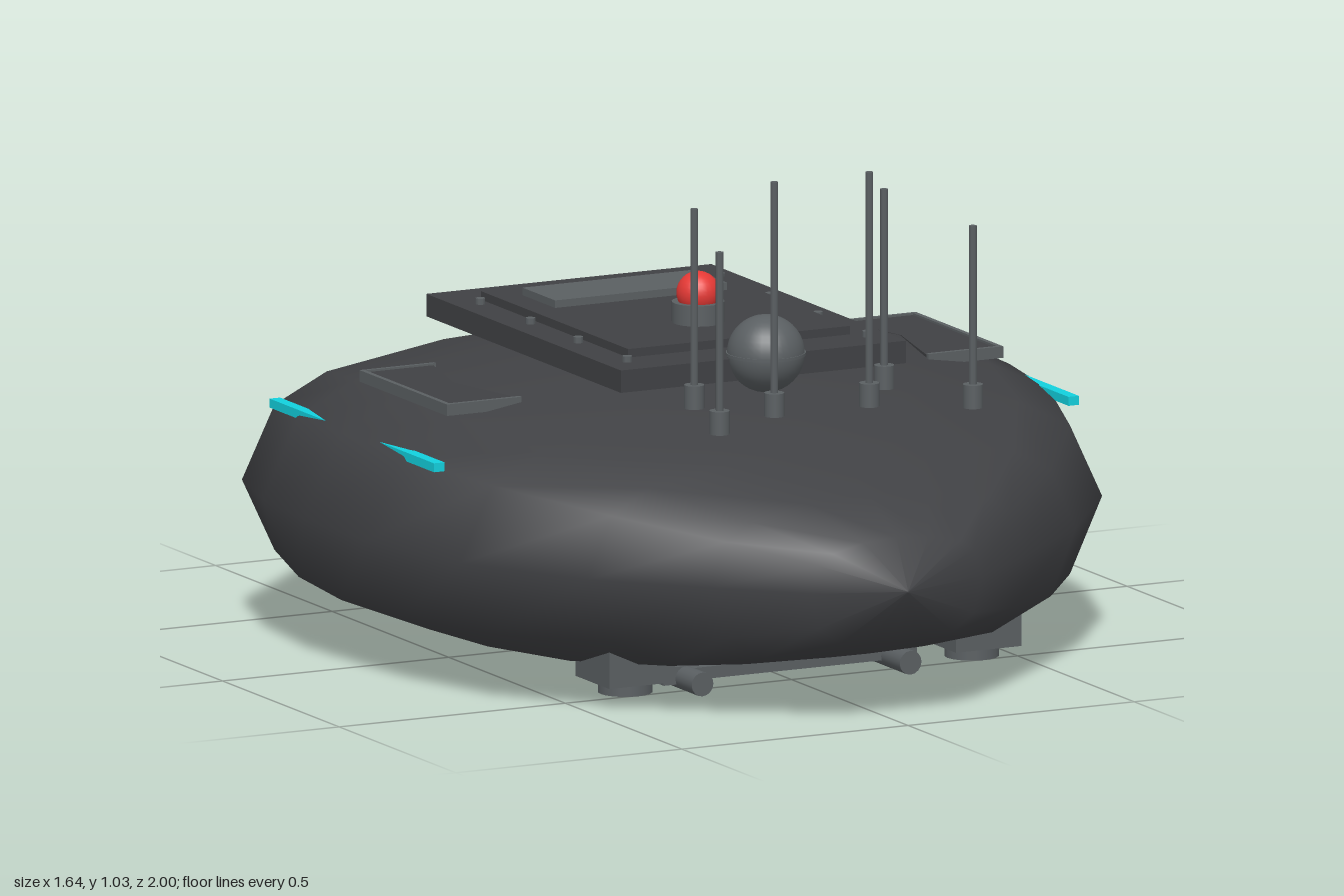
import * as THREE from 'three';

const mat = (color) => new THREE.MeshStandardMaterial({ color });
const DARK = mat(0x404144), GREY = mat(0x5a5f62), RED = mat(0xe53935), CYAN = mat(0x12d0dd);
DARK.side = THREE.DoubleSide;

export function createModel() {
  const root = new THREE.Group();
  const add = (name, geo, material, x = 0, y = 0, z = 0) => {
    const m = new THREE.Mesh(geo, material);
    m.name = name;
    m.position.set(x, y, z);
    root.add(m);
    return m;
  };
  // box from its extents
  const box = (name, material, x0, x1, y0, y1, z0, z1) => add(name,
    new THREE.BoxGeometry(x1 - x0, y1 - y0, z1 - z0), material,
    (x0 + x1) / 2, (y0 + y1) / 2, (z0 + z1) / 2);
  // upright cylinder from its base
  const post = (name, material, r, x, y0, y1, z, sides = 16) => add(name,
    new THREE.CylinderGeometry(r, r, y1 - y0, sides), material, x, (y0 + y1) / 2, z);
  // flat plate from an x/z outline
  const plate = (name, material, points, yTop, thick) => {
    const shape = new THREE.Shape(points.map(([x, z]) => new THREE.Vector2(x, z)));
    const geo = new THREE.ExtrudeGeometry(shape, { depth: thick, bevelEnabled: false });
    geo.rotateX(Math.PI / 2);
    return add(name, geo, material, 0, yTop, 0);
  };

  add('hull', hullGeometry(), DARK);

  // Deck stack on the roof
  box('deckPlate', DARK, -0.315, 0.315, 0.585, 0.63, -0.455, 0.38);
  box('deckCover', DARK, -0.245, 0.245, 0.63, 0.647, -0.355, 0.275);
  box('deckPanel', GREY, -0.19, 0.19, 0.647, 0.662, -0.285, -0.145);
  for (const s of [-1, 1])
    for (const z of [-0.32, -0.105, 0.1, 0.31]) post('deckBolt', GREY, 0.01, s * 0.265, 0.63, 0.642, z, 8);

  // Beacon and sensor dome
  post('beaconBase', GREY, 0.052, 0, 0.645, 0.688, 0.1, 24);
  add('beacon', new THREE.SphereGeometry(0.043, 24, 16), RED, 0, 0.705, 0.1);
  add('sensorDome', new THREE.SphereGeometry(0.077, 32, 20), GREY, 0, 0.637, 0.39);
  add('sensorSeam', new THREE.CylinderGeometry(0.079, 0.079, 0.006, 32), GREY, 0, 0.637, 0.39);

  for (const s of [-1, 1]) {
    // Antennas: x, z, top
    for (const [x, z, top] of [[0.21, 0.49, 0.965], [0.105, 0.63, 1.035], [0.28, 0.735, 0.93]]) {
      post('antennaBase', GREY, 0.02, s * x, 0.565, 0.612, z);
      post('antennaRod', GREY, 0.008, s * x, 0.612, top, z, 8);
    }

    // Notched side plates with a raised rim
    const outline = [[0.61, -0.155], [0.455, -0.155], [0.495, 0.01], [0.45, 0.212], [0.61, 0.212]];
    plate('sidePlate', DARK, outline.map(([x, z]) => [s * x, z]), 0.556, 0.02);
    const rimX = [0.605, 0.615].map((x) => x * s).sort((a, b) => a - b);
    box('sidePlateRim', GREY, ...rimX, 0.537, 0.56, -0.158, 0.216);
    const endX = [0.45, 0.615].map((x) => x * s).sort((a, b) => a - b);
    box('sidePlateFrontRim', GREY, ...endX, 0.537, 0.56, 0.206, 0.216);
    box('sidePlateBackRim', GREY, ...endX, 0.537, 0.56, -0.16, -0.152);

    // Light strips and rear marker lights
    for (const strip of [
      [[0.69, -0.355], [0.713, -0.355], [0.713, -0.1], [0.69, -0.2]],
      [[0.69, 0.35], [0.713, 0.35], [0.713, 0.08], [0.69, 0.18]],
    ]) plate('sideLight', CYAN, strip.map(([x, z]) => [s * x, z]), 0.476, 0.018);
    plate('rearLight', CYAN,
      [[0.32, -0.745], [0.235, -0.745], [0.285, -0.7], [0.32, -0.7]].map(([x, z]) => [s * x, z]), 0.428, 0.02);

    // Landing feet on wedge-shaped mounts that rise outward
    for (const t of [-1, 1]) {
      const geo = new THREE.BoxGeometry(0.145, 0.08, 0.145).toNonIndexed();
      const p = geo.attributes.position;
      for (let i = 0; i < p.count; i++) {
        if (p.getY(i) < 0) continue;
        const outX = p.getX(i) * s > 0, outZ = p.getZ(i) * t > 0;
        p.setY(i, -0.02 + (outX ? 0.03 : 0) + (outZ ? 0.035 : 0));
      }
      geo.computeVertexNormals();
      add('footMount', geo, GREY, s * 0.383, 0.085, t * 0.53);
      post('foot', GREY, 0.054, s * 0.383, 0.02, 0.046, t * 0.53, 20);
      box('railClamp', GREY, s * 0.255 - 0.025, s * 0.255 + 0.025, 0.015, 0.05, t * 0.47 - 0.025, t * 0.47 + 0.025);
    }

    // Skid rails
    const rail = add('skidRail', new THREE.CylinderGeometry(0.024, 0.024, 1.13, 16), GREY, s * 0.23, 0.026, 0);
    rail.rotation.x = Math.PI / 2;
  }
  for (const z of [-0.47, 0.47]) box('skidCrossbar', GREY, -0.28, 0.28, 0.018, 0.042, z - 0.015, z + 0.015);
  return root;
}

// Smooth hull lofted through cross-sections along z
function hullGeometry() {
  // z, half width, centre height, top, bottom
  const stations = [
    [-1, 0.001, 0.27, 0.271, 0.269], [-0.95, 0.26, 0.275, 0.37, 0.145], [-0.85, 0.35, 0.28, 0.42, 0.115],
    [-0.7, 0.47, 0.285, 0.475, 0.085], [-0.46, 0.72, 0.295, 0.547, 0.06], [-0.225, 0.795, 0.305, 0.585, 0.047],
    [0, 0.82, 0.31, 0.598, 0.04], [0.215, 0.795, 0.305, 0.587, 0.045], [0.455, 0.71, 0.295, 0.555, 0.057],
    [0.67, 0.54, 0.285, 0.5, 0.078], [0.83, 0.35, 0.28, 0.435, 0.115], [0.95, 0.19, 0.275, 0.37, 0.16],
    [1, 0.001, 0.27, 0.271, 0.269],
  ];
  const right = [[0, -1], [0.35, -0.98], [0.66, -0.92], [0.9, -0.63], [1, 0], [0.9, 0.57], [0.74, 0.79], [0.38, 0.95], [0, 1]];
  const ring = [...right, ...right.slice(1, -1).reverse().map(([x, y]) => [-x, y])];
  const n = ring.length, pos = [], idx = [];
  for (const [z, w, yc, top, bottom] of stations)
    for (const [x, y] of ring) pos.push(x * w, yc + (y > 0 ? y * (top - yc) : y * (yc - bottom)), z);
  for (let i = 0; i < stations.length - 1; i++)
    for (let j = 0; j < n; j++) {
      const a = i * n + j, b = i * n + (j + 1) % n;
      idx.push(a, b, a + n, b, b + n, a + n);
    }
  const geo = new THREE.BufferGeometry();
  geo.setAttribute('position', new THREE.Float32BufferAttribute(pos, 3));
  geo.setIndex(idx);
  geo.computeVertexNormals();
  return geo;
}
